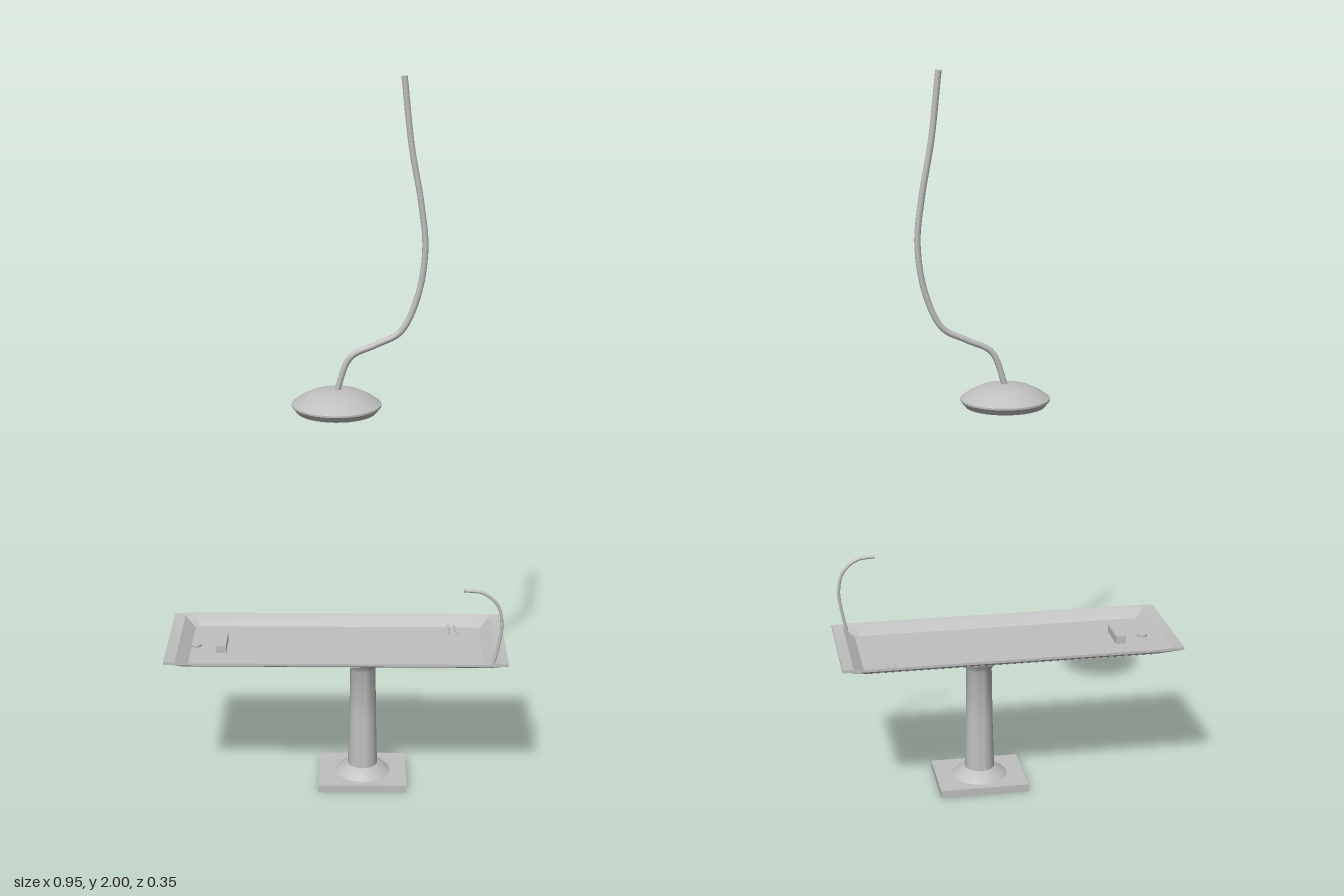
import * as THREE from 'three';
import { toCreasedNormals } from 'three/addons/utils/BufferGeometryUtils.js';

const steel = new THREE.MeshStandardMaterial({ color: 0xbfbfbf });
steel.name = 'brushed steel';

function part(parent, name, geometry, x = 0, y = 0, z = 0) {
  const mesh = new THREE.Mesh(geometry, steel);
  mesh.name = name;
  mesh.position.set(x, y, z);
  parent.add(mesh);
  return mesh;
}

// Lathe from [radius, height] pairs, keeping edges sharper than the crease angle
function lathe(points, segments, crease) {
  const profile = points.map(([r, y]) => new THREE.Vector2(r, y));
  return toCreasedNormals(new THREE.LatheGeometry(profile, segments), crease);
}

// Capped tube along [x, y] points in a constant z plane
function pipe(parent, name, points, radius, z, steps) {
  const path = points.map(([x, y]) => new THREE.Vector3(x, y, z));
  const curve = new THREE.CatmullRomCurve3(path);
  part(parent, name, new THREE.TubeGeometry(curve, steps, radius, 10));
  const tip = curve.getPointAt(1);
  const cap = part(parent, name + 'End', new THREE.CircleGeometry(radius, 10), tip.x, tip.y, tip.z);
  cap.quaternion.setFromUnitVectors(new THREE.Vector3(0, 0, 1), curve.getTangentAt(1));
}

// Closed tray skin lofted through rectangular rings with clipped corners
function trayGeometry() {
  // half length, half width, height, corner cut along x and z
  const rings = [
    [0.41, 0.11, 0.395, 0.01, 0.008],
    [0.455, 0.172, 0.424, 0.03, 0.008],
    [0.474, 0.177, 0.428, 0.055, 0.005],
    [0.474, 0.177, 0.435, 0.055, 0.005],
    [0.443, 0.172, 0.432, 0.03, 0.01],
    [0.411, 0.14, 0.408, 0.012, 0.01],
  ];
  const positions = [];
  const index = [];
  for (const [a, b, y, cx, cz] of rings) {
    const outline = [
      [a, b - cz], [a - cx, b], [cx - a, b], [-a, b - cz],
      [-a, cz - b], [cx - a, -b], [a - cx, -b], [a, cz - b],
    ];
    for (const [x, z] of outline) positions.push(x, y, z);
  }
  const n = 8;
  for (let r = 0; r < rings.length - 1; r++) {
    for (let i = 0; i < n; i++) {
      const j = (i + 1) % n;
      const p = r * n + i, q = r * n + j;
      index.push(p, p + n, q, q, p + n, q + n);
    }
  }
  // underside and inner floor
  const top = (rings.length - 1) * n;
  for (let i = 1; i < n - 1; i++) {
    index.push(0, i, i + 1);
    index.push(top, top + i + 1, top + i);
  }
  const geometry = new THREE.BufferGeometry();
  geometry.setAttribute('position', new THREE.Float32BufferAttribute(positions, 3));
  geometry.setIndex(index);
  return toCreasedNormals(geometry, 0.4);
}

export function createModel() {
  const model = new THREE.Group();
  model.name = 'examinationTable';

  // Pedestal: square foot and flared column
  const pedestal = new THREE.Group();
  pedestal.name = 'pedestal';
  pedestal.position.x = 0.075;
  model.add(pedestal);
  part(pedestal, 'footPlate', new THREE.BoxGeometry(0.25, 0.022, 0.2), 0, 0.011, 0);
  part(pedestal, 'column', lathe([
    [0.078, 0.022], [0.07, 0.03], [0.042, 0.046], [0.038, 0.2],
    [0.036, 0.345], [0.045, 0.36], [0.057, 0.38], [0.057, 0.396],
  ], 32, 0.6));

  // Table top with its fittings
  const table = new THREE.Group();
  table.name = 'table';
  model.add(table);
  part(table, 'tray', trayGeometry());
  part(table, 'headBlock', new THREE.BoxGeometry(0.028, 0.022, 0.098), -0.324, 0.419, 0);
  part(table, 'drain', new THREE.CylinderGeometry(0.014, 0.014, 0.006, 20), -0.398, 0.411, 0);
  for (const [x, lean] of [[0.324, 0], [0.343, 0.12]]) {
    const tool = part(table, 'instrument', new THREE.CylinderGeometry(0.002, 0.003, 0.058, 8), x, 0.412, -0.114);
    tool.rotation.set(Math.PI / 2, 0, -lean);
  }
  pipe(table, 'faucet', [
    [0.433, 0.425], [0.445, 0.48], [0.453, 0.545], [0.44, 0.6], [0.4, 0.635], [0.348, 0.642],
  ], 0.0045, 0.149, 40);

  // Hanging lamp
  const lamp = new THREE.Group();
  lamp.name = 'lamp';
  model.add(lamp);
  part(lamp, 'shade', lathe([
    [0, 1.104], [0.108, 1.104], [0.122, 1.121], [0.122, 1.126],
    [0.1, 1.142], [0.07, 1.157], [0.035, 1.164], [0, 1.166],
  ], 40, 0.6));
  pipe(lamp, 'cable', [
    [0, 1.16], [0.037, 1.255], [0.105, 1.29], [0.17, 1.325], [0.215, 1.42],
    [0.234, 1.55], [0.222, 1.67], [0.195, 1.82], [0.174, 2],
  ], 0.0085, 0, 80);

  return model;
}
